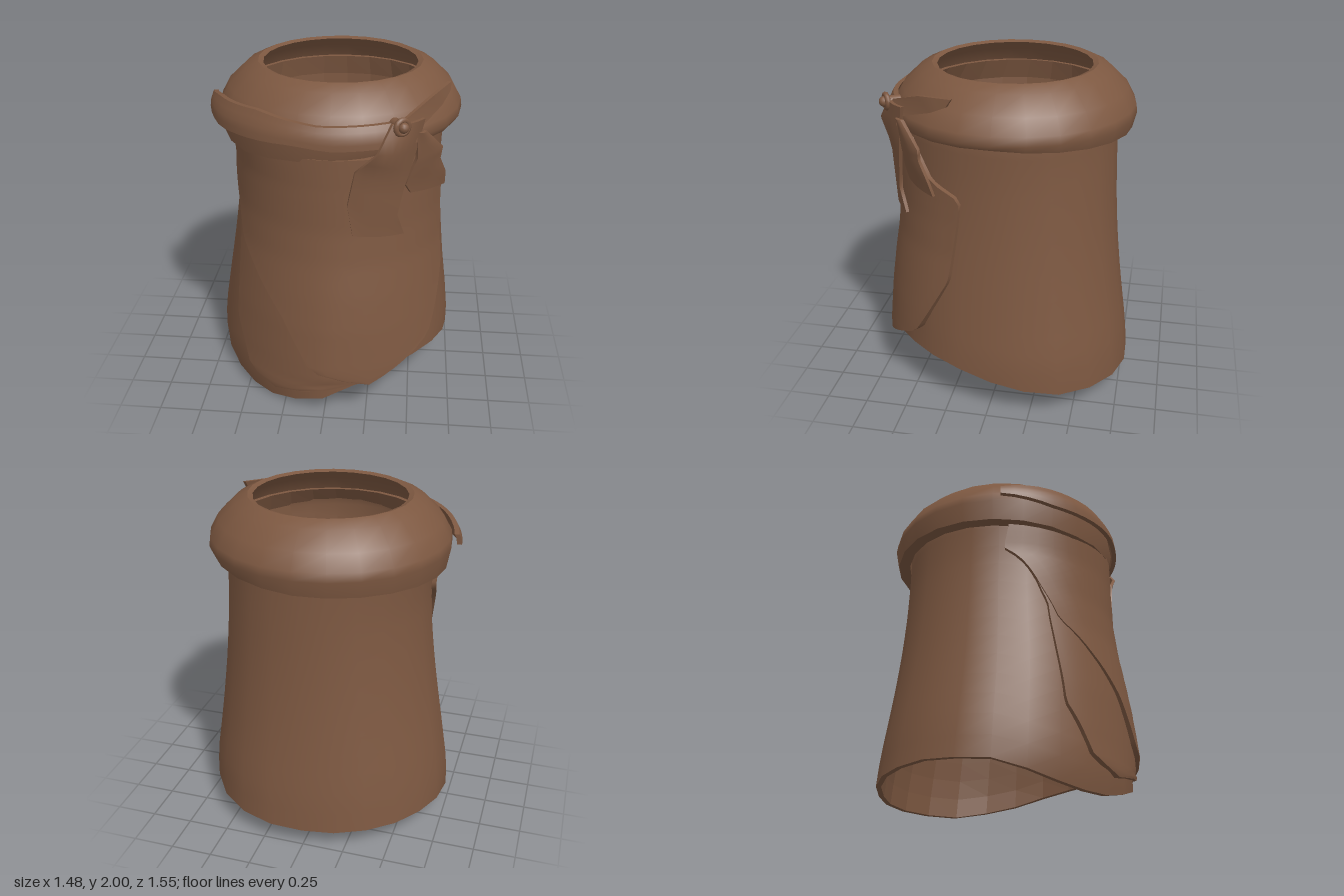
import * as THREE from 'three';
import { mergeGeometries, mergeVertices } from 'three/addons/utils/BufferGeometryUtils.js';

const leather = new THREE.MeshStandardMaterial({ color: 0x7d5841 });
leather.name = 'brown leather';

const V = (x, y, z) => new THREE.Vector3(x, y, z);
const rad = THREE.MathUtils.degToRad;
const clamp01 = t => THREE.MathUtils.clamp(t, 0, 1);

// Piecewise linear lookup in rows of [key, value, value...]
function lookup(rows, k, col = 1) {
  if (k <= rows[0][0]) return rows[0][col];
  for (let i = 1; i < rows.length; i++) {
    const a = rows[i - 1], b = rows[i];
    if (k <= b[0]) return a[col] + (b[col] - a[col]) * (k - a[0]) / (b[0] - a[0]);
  }
  return rows[rows.length - 1][col];
}

// Smooth-shaded grid surface of f(a, b), a and b in 0..1
function grid(f, na, nb, flip, flat) {
  const pos = [], idx = [];
  for (let j = 0; j <= nb; j++)
    for (let i = 0; i <= na; i++) pos.push(...f(i / na, j / nb).toArray());
  for (let j = 0; j < nb; j++)
    for (let i = 0; i < na; i++) {
      const p = j * (na + 1) + i, q = p + 1, r = p + na + 1, s = r + 1;
      if (flip) idx.push(p, s, q, p, r, s);
      else idx.push(p, q, s, p, s, r);
    }
  let g = new THREE.BufferGeometry();
  g.setAttribute('position', new THREE.Float32BufferAttribute(pos, 3));
  g.setIndex(idx);
  g = mergeVertices(g);
  if (flat) g = g.toNonIndexed();
  g.computeVertexNormals();
  return flat ? g : g.toNonIndexed();
}

// Thick sheet: P(u, v, s) with s = 0 on the inner side and 1 on the outer side
function slab(name, P, nu, nv, flatInside = false) {
  const e = 0.01, o = P(0.5, 0.5, 0);
  const du = P(0.5 + e, 0.5, 0).sub(o), dv = P(0.5, 0.5 + e, 0).sub(o), ds = P(0.5, 0.5, 1).sub(o);
  const flip = du.cross(dv).dot(ds) < 0;
  const g = mergeGeometries([
    grid((u, v) => P(u, v, 1), nu, nv, flip),
    grid((v, u) => P(u, v, 0), nv, nu, flip, flatInside),
    grid((v, s) => P(1, v, s), nv, 1, flip),
    grid((s, v) => P(0, v, s), 1, nv, flip),
    grid((s, u) => P(u, 1, s), 1, nu, flip),
    grid((u, s) => P(u, 0, s), nu, 1, flip),
  ]);
  const m = new THREE.Mesh(g, leather);
  m.name = name;
  return m;
}

// Point along a polyline, t in 0..1
function along(pts, t) {
  const k = clamp01(t) * (pts.length - 1), i = Math.min(Math.floor(k), pts.length - 2);
  return V(...pts[i]).lerp(V(...pts[i + 1]), k - i);
}

// Strip of leather between two edge lines, bulging outward in the middle
function ribbon(name, a, b, thick = 0.02, bulge = 0) {
  return slab(name, (u, v, s) => {
    const p = along(a, u).lerp(along(b, u), v);
    const out = V(p.x, 0, p.z).normalize();
    return p.addScaledVector(out, (s - 1) * thick + bulge * Math.sin(Math.PI * v));
  }, 2 * (a.length - 1), 6);
}

// Body extents by height: y, left x, right x, back z, front z
const BODY = [
  [0.00, -0.72, 0.72, -0.77, 0.695], [0.15, -0.745, 0.735, -0.78, 0.72],
  [0.35, -0.722, 0.735, -0.76, 0.715], [0.60, -0.68, 0.705, -0.725, 0.70],
  [0.80, -0.645, 0.683, -0.70, 0.68], [1.00, -0.615, 0.663, -0.68, 0.655],
  [1.20, -0.59, 0.648, -0.665, 0.635], [1.45, -0.572, 0.638, -0.655, 0.63],
  [1.74, -0.59, 0.645, -0.65, 0.63], [1.85, -0.555, 0.61, -0.62, 0.54],
];
// The lower body leans toward the back on the +x side
function bodyPoint(angle, y, off) {
  const [x0, x1, z0, z1] = [1, 2, 3, 4].map(c => lookup(BODY, y, c));
  const lean = Math.max(0, -Math.sin(2 * angle)) * Math.sign(Math.sin(angle)) *
    (0.012 + 0.045 * clamp01((1.6 - y) / 1.3));
  const r = off + lean;
  return V((x0 + x1) / 2 + ((x1 - x0) / 2 + r) * Math.sin(angle), y,
    (z0 + z1) / 2 + ((z1 - z0) / 2 + r) * Math.cos(angle));
}
// Angle on the body (0 = front, positive toward +x) for a given x on the front half
function angleAt(x, y) {
  const x0 = lookup(BODY, y, 1), x1 = lookup(BODY, y, 2);
  return Math.asin(THREE.MathUtils.clamp((x - (x0 + x1) / 2) / ((x1 - x0) / 2), -1, 1));
}

// Wavy lower hem: angle in degrees, height
const HEM = [[0, 0.12], [15, 0.22], [35, 0.315], [50, 0.33], [70, 0.31], [90, 0.24], [120, 0.165],
  [150, 0.145], [180, 0.13], [210, 0.14], [240, 0.14], [270, 0.11], [300, 0.025], [318, 0],
  [335, 0.015], [350, 0.075], [360, 0.12]];

// Collar profiles (radius, height); the first point follows the lower edge
const COLLAR_OUT = [[0.69, 0], [0.712, 1.73], [0.705, 1.78], [0.655, 1.87], [0.555, 1.965], [0.48, 2]];
const COLLAR_IN = [[0.62, 0], [0.62, 1.73], [0.61, 1.78], [0.58, 1.85], [0.52, 1.93], [0.45, 1.99]];
const COLLAR_EDGE = [[0, 1.63], [45, 1.69], [90, 1.70], [135, 1.67], [180, 1.64], [225, 1.63],
  [270, 1.61], [315, 1.59], [360, 1.63]];
const collarXZ = (angle, r, y) => V(0.033 + r * Math.sin(angle), y, -0.043 + r * Math.cos(angle));

// Front panel between two side edges (angles by height); it stands off more toward the bottom
function panel(name, left, right, y0, y1, off, flare) {
  return slab(name, (u, v, s) => {
    const y = y0 + (y1 - y0) * v;
    const a = left(y), b = right(y);
    const lift = off + flare * clamp01(1 - y);
    return bodyPoint(a + (b - a) * u, y, s * lift - (1 - s) * 0.01);
  }, 16, 36);
}

export function createModel() {
  const group = new THREE.Group();

  // Flared tube with wavy hem
  group.add(slab('body', (u, v, s) => {
    const y0 = lookup(HEM, u * 360);
    return bodyPoint(rad(u * 360), y0 + (1.85 - y0) * v, (s - 1) * 0.03);
  }, 24, 14, true));

  // Folded collar
  group.add(slab('collar', (u, v, s) => {
    const rows = s > 0.5 ? COLLAR_OUT : COLLAR_IN;
    const k = clamp01(v) * 5, i = Math.min(Math.floor(k), 4), t = k - i;
    const ya = i ? rows[i][1] : lookup(COLLAR_EDGE, u * 360);
    return collarXZ(rad(u * 360), rows[i][0] + (rows[i + 1][0] - rows[i][0]) * t,
      ya + (rows[i + 1][1] - ya) * t);
  }, 24, 5));

  // Two overlapping front panels
  const underLeft = [[0.12, -0.31], [0.18, -0.5], [0.47, -0.59], [1.1, -0.54], [1.62, -0.57]];
  const underRight = [[0.12, -0.31], [0.25, 0.25], [0.5, 0.1], [1.1, -0.3], [1.62, -0.4]];
  const overLeft = [[0.25, 0.25], [0.34, -0.07], [0.64, -0.24], [0.83, -0.4], [1, -0.52], [1.42, -0.57], [1.62, -0.58]];
  const overRight = [[0.25, 20], [0.46, 52], [0.6, 59], [0.85, 70], [1.34, 75], [1.375, 72], [1.43, 58], [1.64, 42]];
  group.add(panel('underPanel', y => angleAt(lookup(underLeft, y), y),
    y => angleAt(lookup(underRight, y), y), 0.12, 1.64, 0.016, 0.012));
  group.add(panel('overPanel', y => angleAt(lookup(overLeft, y), y),
    y => rad(lookup(overRight, y)), 0.25, 1.64, 0.024, 0.045));

  // Strap wrapped round the front of the collar, its far end standing off
  const strapTop = [[-86, 1.80], [-70, 1.84], [-35, 1.865], [-5, 1.83], [38, 1.84]];
  const strapLow = [[-86, 1.74], [-60, 1.70], [-15, 1.73], [0, 1.71], [38, 1.72]];
  const strapFit = COLLAR_OUT.slice(1).map(([r, y]) => [y, r]);
  group.add(slab('strap', (u, v, s) => {
    const d = -86 + 124 * u;
    const y = THREE.MathUtils.lerp(lookup(strapLow, d), lookup(strapTop, d), v);
    const gap = 0.005 + 0.022 * clamp01((-45 - d) / 35);
    return collarXZ(rad(d), lookup(strapFit, y) + gap + s * 0.028, y);
  }, 20, 4));

  // Loose strap end, standing off the collar
  group.add(ribbon('strapEnd',
    [[0.40, 1.84, 0.60], [0.56, 1.92, 0.39], [0.67, 1.945, 0.18]],
    [[0.45, 1.75, 0.59], [0.62, 1.85, 0.31], [0.665, 1.90, 0.21]]));

  // Hanging ends below the stud
  group.add(ribbon('longTail',
    [[0.36, 1.84, 0.62], [0.29, 1.70, 0.70], [0.17, 1.58, 0.67], [0.13, 1.38, 0.66], [0.16, 1.20, 0.66]],
    [[0.53, 1.84, 0.50], [0.49, 1.67, 0.53], [0.43, 1.45, 0.56], [0.40, 1.30, 0.575], [0.44, 1.165, 0.53]],
    0.02, 0.025));
  group.add(ribbon('shortTail',
    [[0.49, 1.77, 0.54], [0.50, 1.62, 0.52], [0.47, 1.54, 0.52], [0.44, 1.46, 0.52], [0.47, 1.40, 0.49]],
    [[0.54, 1.77, 0.50], [0.635, 1.64, 0.385], [0.625, 1.57, 0.385], [0.66, 1.47, 0.33], [0.66, 1.38, 0.30]],
    0.02, 0.015));

  // Stud with a ring
  const stud = new THREE.Group();
  stud.name = 'stud';
  const ring = new THREE.Mesh(new THREE.TorusGeometry(0.038, 0.016, 8, 16), leather);
  ring.name = 'studRing';
  const knob = new THREE.Mesh(new THREE.SphereGeometry(0.03, 12, 8), leather);
  knob.name = 'studKnob';
  knob.position.z = 0.012;
  const shank = new THREE.Mesh(new THREE.CylinderGeometry(0.03, 0.03, 0.08, 12), leather);
  shank.name = 'studShank';
  shank.rotation.x = Math.PI / 2;
  shank.position.z = -0.04;
  stud.add(ring, knob, shank);
  stud.position.set(0.41, 1.83, 0.62);
  stud.rotation.y = rad(35);
  group.add(stud);

  return group;
}
